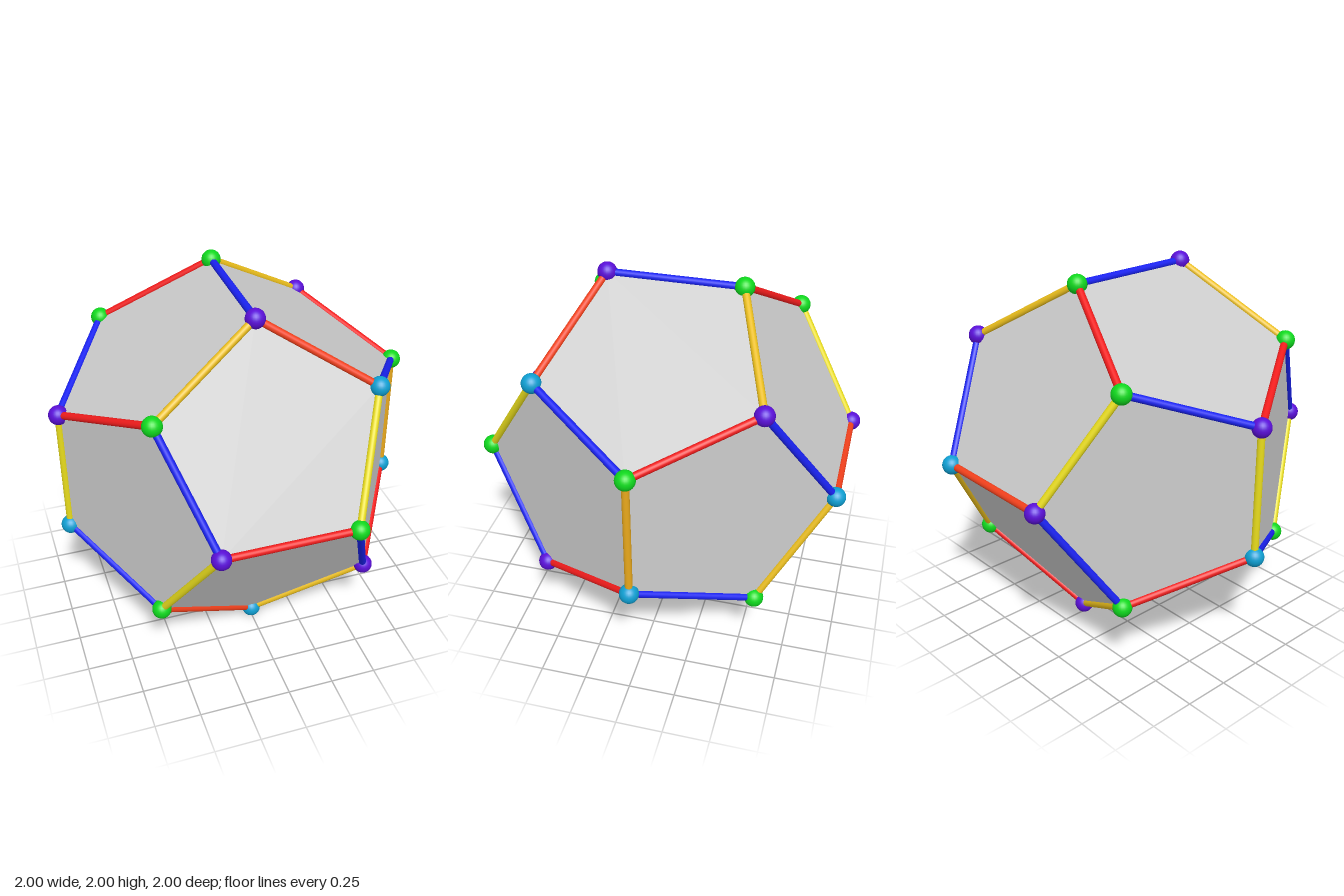
import * as THREE from 'three';

const S = 0.586;                         // half side of the inscribed cube
const Q = (1 + Math.sqrt(5)) / 2, P = 1 / Q;
const BALL = 0.052, ROD = 0.02;

const BALL_COLORS = { purple: 0x5a0fd8, green: 0x0fd81e, cyan: 0x0f9fd2 };

// Corner directions with the colour of the ball on each
const CORNERS = [
  [0, Q, P, 'purple'], [0, Q, -P, 'green'], [0, -Q, P, 'cyan'], [0, -Q, -P, 'purple'],
  [-P, 0, Q, 'purple'], [P, 0, Q, 'green'], [-P, 0, -Q, 'purple'], [P, 0, -Q, 'cyan'],
  [-Q, P, 0, 'purple'], [Q, P, 0, 'green'], [-Q, -P, 0, 'cyan'], [Q, -P, 0, 'cyan'],
  [-1, 1, 1, 'green'], [1, 1, 1, 'cyan'], [-1, -1, 1, 'green'], [1, -1, 1, 'purple'],
  [-1, 1, -1, 'green'], [1, 1, -1, 'purple'], [-1, -1, -1, 'green'], [1, -1, -1, 'green'],
];

// Edges as corner pairs, grouped by rod colour
const RODS = [
  ['red', 0xf01c1c, [[8, 12], [4, 5], [11, 15], [1, 16], [9, 17], [10, 18], [3, 19]]],
  ['orangeRed', 0xf0401c, [[0, 13], [2, 14], [6, 7]]],
  ['blue', 0x1a22f0, [[0, 1], [4, 12], [9, 13], [5, 15], [10, 14], [2, 3], [7, 17], [8, 16], [6, 18], [11, 19]]],
  ['gold', 0xe8bc1c, [[0, 12], [2, 15], [1, 17], [3, 18], [7, 19]]],
  ['yellow', 0xe8dc1c, [[5, 13], [4, 14], [8, 10], [6, 16]]],
  ['amber', 0xe8a81c, [[9, 11]]],
];

export function createModel() {
  const model = new THREE.Group();
  model.name = 'dodecahedronModel';
  const body = new THREE.Group();
  body.name = 'dodecahedron';
  body.position.y = 1;
  model.add(body);

  // Solid core with twelve flat pentagons
  const coreGeometry = new THREE.DodecahedronGeometry(S * Math.sqrt(3)).rotateZ(Math.PI / 2);
  const core = new THREE.Mesh(coreGeometry,
    new THREE.MeshStandardMaterial({ color: 0xcccccc, flatShading: true }));
  core.name = 'pentagonFaces';
  body.add(core);

  // Corner balls
  const points = CORNERS.map(([x, y, z]) => new THREE.Vector3(x, y, z).multiplyScalar(S));
  const ballGeometry = new THREE.SphereGeometry(BALL, 24, 16);
  const ballMaterials = {};
  for (const [name, color] of Object.entries(BALL_COLORS)) {
    ballMaterials[name] = new THREE.MeshStandardMaterial({ color });
  }
  CORNERS.forEach(([, , , name], i) => {
    const ball = new THREE.Mesh(ballGeometry, ballMaterials[name]);
    ball.name = `${name}CornerBall`;
    ball.position.copy(points[i]);
    body.add(ball);
  });

  // Edge rods, each turned from the y axis onto its edge
  const rodGeometry = new THREE.CylinderGeometry(ROD, ROD, 2 * P * S, 20);
  const up = new THREE.Vector3(0, 1, 0);
  for (const [name, color, pairs] of RODS) {
    const material = new THREE.MeshStandardMaterial({ color });
    for (const [a, b] of pairs) {
      const rod = new THREE.Mesh(rodGeometry, material);
      rod.name = `${name}EdgeRod`;
      rod.position.addVectors(points[a], points[b]).multiplyScalar(0.5);
      rod.quaternion.setFromUnitVectors(up, points[b].clone().sub(points[a]).normalize());
      body.add(rod);
    }
  }
  return model;
}
